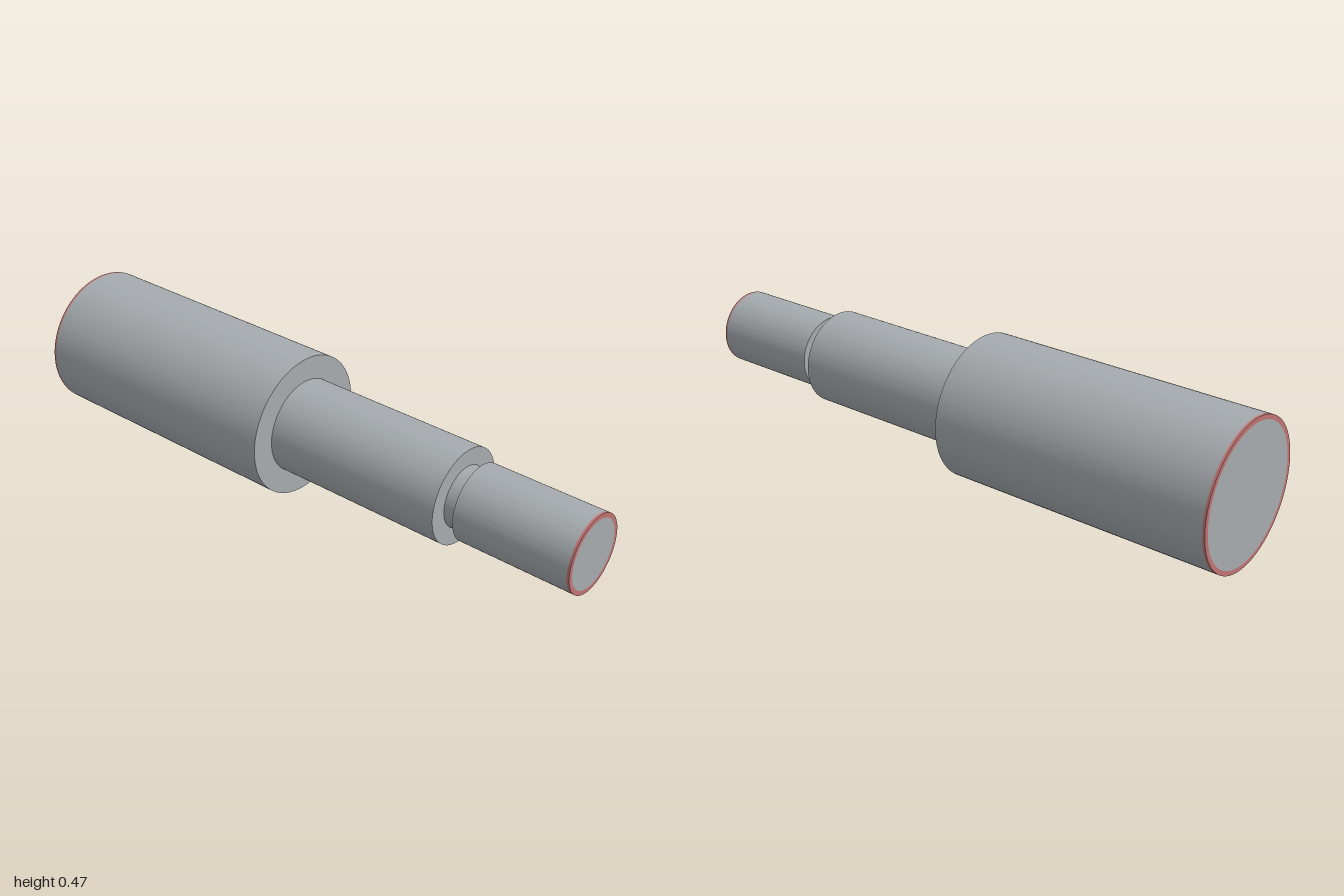
import * as THREE from 'three';
import { toCreasedNormals } from 'three/addons/utils/BufferGeometryUtils.js';

const AXIS_HEIGHT = 0.234;
const RIM = 0.015; // width of the coloured rim on each end face
const BAND = 0.008; // how far the rim wraps onto the side

const steel = new THREE.MeshStandardMaterial({ color: 0xa6abaf });
steel.name = 'steel grey';
const rimRed = new THREE.MeshStandardMaterial({ color: 0xc07474 });
rimRed.name = 'rim red';

// Turn a profile of [position along x, radius] pairs around the shaft axis
function turned(name, profile, material) {
  const points = profile.map(([x, r]) => new THREE.Vector2(r, x));
  const lathe = new THREE.LatheGeometry(points, 96);
  const geometry = toCreasedNormals(lathe, Math.PI / 6);
  geometry.rotateZ(-Math.PI / 2);
  const mesh = new THREE.Mesh(geometry, material);
  mesh.name = name;
  mesh.position.y = AXIS_HEIGHT;
  return mesh;
}

export function createModel() {
  const group = new THREE.Group();
  group.name = 'steppedShaft';
  const big = 0.234, middle = 0.156, neck = 0.1, tip = 0.125;

  // Stepped shaft: thick body, middle journal, relief groove and end journal
  group.add(turned('shaftBody', [
    [-1 + BAND, big], [-0.0625, big],
    [-0.0625, middle], [0.5605, middle],
    [0.5605, neck], [0.609, neck],
    [0.609, tip], [1 - BAND, tip],
  ], steel));

  // Flat end faces inside the rims
  group.add(turned('thickEndFace', [[-1, 0], [-1, big - RIM]], steel));
  group.add(turned('thinEndFace', [[1, tip - RIM], [1, 0]], steel));

  // Coloured rims around both end edges
  group.add(turned('thickEndRim', [[-1, big - RIM], [-1, big], [-1 + BAND, big]], rimRed));
  group.add(turned('thinEndRim', [[1 - BAND, tip], [1, tip], [1, tip - RIM]], rimRed));
  return group;
}
